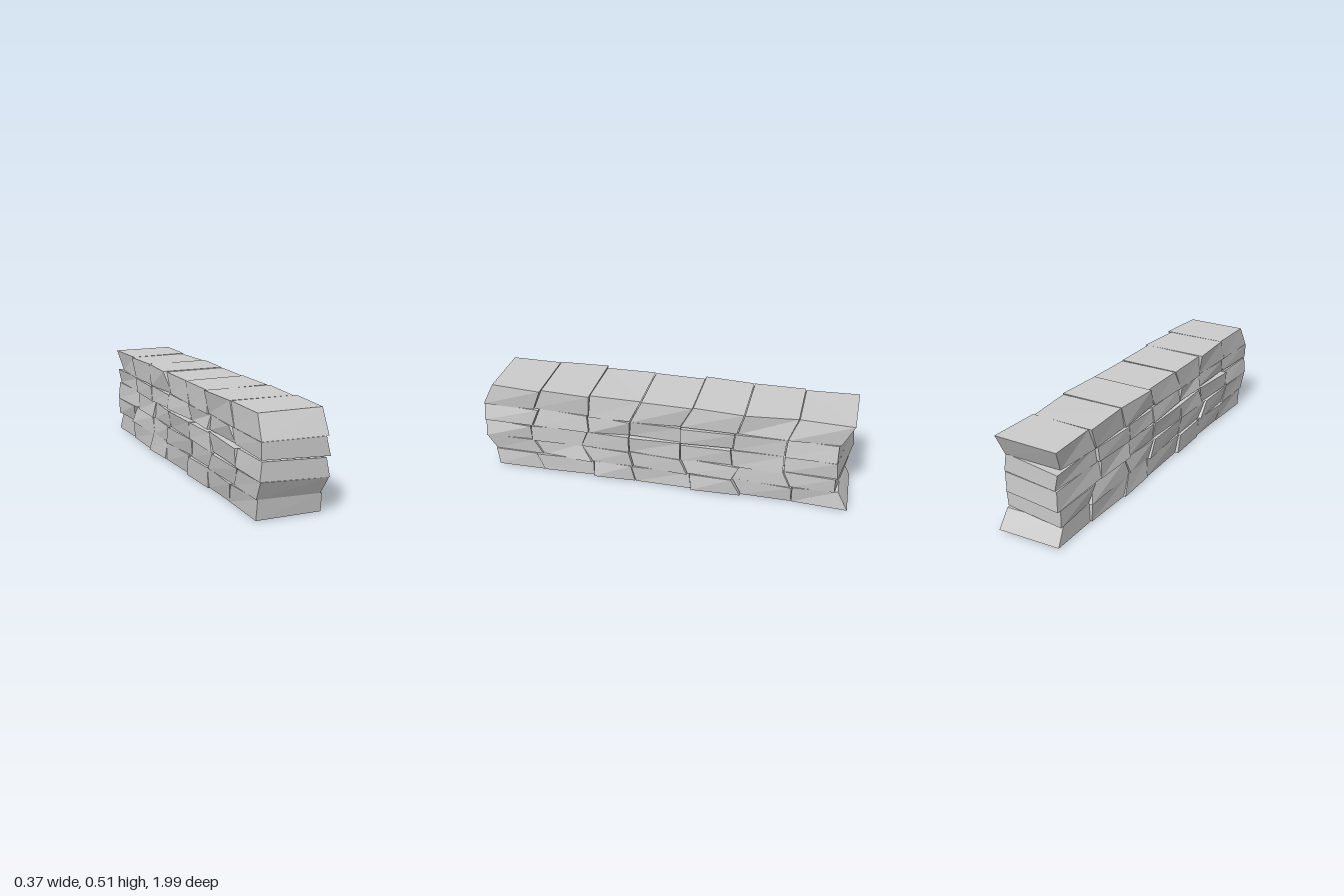
import * as THREE from 'three';

// Courses from bottom to top.
// low/high: [y at -x, y at +x]; joints: [z at top, z at bottom] from front to back;
// backSkew: extra z of the -x corner at the back end.
const COURSES = [
  { low: [0.005, 0.005], high: [0.11, 0.1], backSkew: 0.01,
    joints: [[0.95, 0.935], [0.71, 0.67], [0.385, 0.385], [0.17, 0.15], [-0.15, -0.16], [-0.38, -0.43], [-0.7, -0.7], [-0.94, -0.995]] },
  { low: [0.11, 0.1], high: [0.203, 0.187], backSkew: -0.05,
    joints: [[0.995, 0.95], [0.72, 0.67], [0.45, 0.39], [0.18, 0.16], [-0.1, -0.14], [-0.42, -0.38], [-0.65, -0.69], [-0.92, -0.92]] },
  { low: [0.205, 0.187], high: [0.298, 0.282], backSkew: -0.06,
    joints: [[0.995, 0.995], [0.73, 0.73], [0.41, 0.45], [0.18, 0.18], [-0.1, -0.1], [-0.37, -0.38], [-0.65, -0.65], [-0.92, -0.93]] },
  { low: [0.305, 0.287], high: [0.387, 0.382], backSkew: -0.06,
    joints: [[0.995, 0.995], [0.68, 0.72], [0.41, 0.4], [0.17, 0.18], [-0.1, -0.1], [-0.39, -0.38], [-0.66, -0.65], [-0.92, -0.92]] },
  { low: [0.388, 0.383], high: [0.505, 0.505], backSkew: 0,
    joints: [[0.935, 0.995], [0.66, 0.71], [0.39, 0.4], [0.11, 0.17], [-0.165, -0.1], [-0.435, -0.4], [-0.71, -0.66], [-0.99, -0.93]] },
];

// Top edges of the uppermost blocks: x at front left, front right, back left, back right
const CAP_X = [
  [-0.165, 0.165, -0.165, 0.185], [-0.17, 0.165, -0.185, 0.18], [-0.165, 0.165, -0.17, 0.165],
  [-0.165, 0.165, -0.165, 0.17], [-0.185, 0.165, -0.17, 0.18], [-0.17, 0.175, -0.18, 0.15],
  [-0.165, 0.155, -0.18, 0.165],
];

function seeded(seed) {
  let s = seed;
  return () => (s = (s * 16807) % 2147483647) / 2147483647;
}

// A box whose eight corners are placed by a rule
function block(place, material) {
  const geometry = new THREE.BoxGeometry(1, 1, 1);
  const p = geometry.attributes.position;
  const corners = {};
  for (let i = 0; i < p.count; i++) {
    const right = p.getX(i) > 0, top = p.getY(i) > 0, front = p.getZ(i) > 0;
    const key = `${right}${top}${front}`;
    corners[key] ??= place(right, top, front);
    p.setXYZ(i, ...corners[key]);
  }
  geometry.computeVertexNormals();
  return new THREE.Mesh(geometry, material);
}

export function createModel() {
  const wall = new THREE.Group();
  wall.name = 'stoneWall';
  const stone = new THREE.MeshStandardMaterial({ color: 0xcccccc, flatShading: true });
  const random = seeded(4217);
  const jitter = (amount) => (random() * 2 - 1) * amount;

  COURSES.forEach((course, row) => {
    const group = new THREE.Group();
    group.name = `course${row + 1}`;
    const isTop = row === COURSES.length - 1;
    const last = course.joints.length - 1;
    // Joints run slightly askew through the thickness of the wall
    const skew = course.joints.map((_, i) =>
      i === 0 ? 0 : i === last ? course.backSkew : jitter(isTop ? 0.005 : 0.03));

    for (let i = 0; i < last; i++) {
      const mesh = block((right, top, front) => {
        const joint = front ? i : i + 1;
        const gap = joint === 0 || joint === last ? 0 : front ? -0.002 : 0.002;
        const z = course.joints[joint][top ? 0 : 1] + (right ? 0 : skew[joint]) + gap;
        const level = (top ? course.high : course.low)[right ? 1 : 0];
        const outer = (isTop && top) || (row === 0 && !top);
        const y = level + (joint === 0 ? 0 : jitter(outer ? 0.003 : 0.006));
        const x = isTop && top
          ? CAP_X[i][(front ? 0 : 2) + (right ? 1 : 0)]
          : (right ? 1 : -1) * (0.168 + jitter(0.013));
        return [x, y, z];
      }, stone);
      mesh.name = `block${row + 1}_${i + 1}`;
      group.add(mesh);
    }
    wall.add(group);
  });
  return wall;
}
